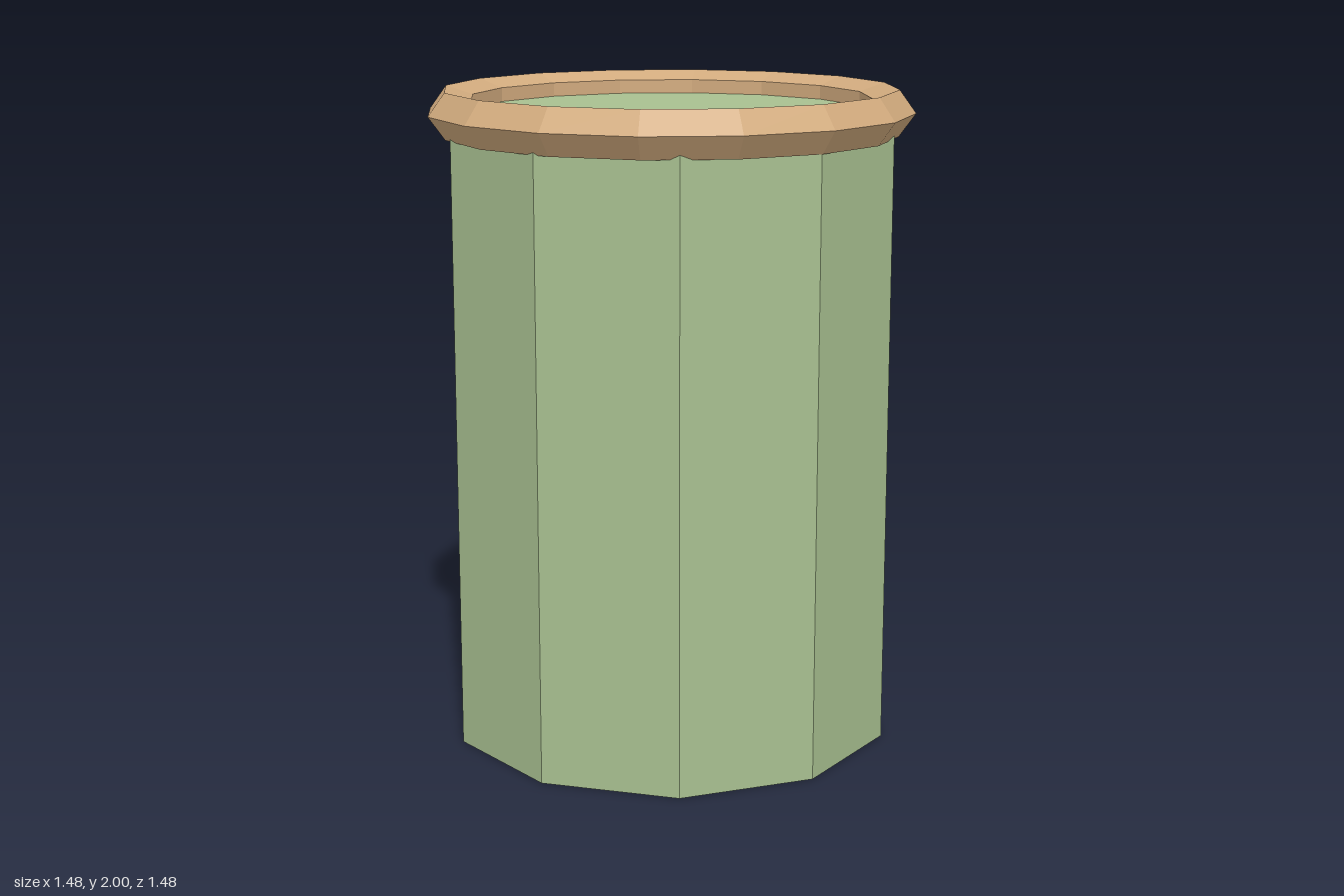
import * as THREE from 'three';

export function createModel() {
  const model = new THREE.Group();
  model.name = 'canister';

  const green = new THREE.MeshStandardMaterial({ color: 0xa8c090, flatShading: true });
  green.name = 'sage green';
  const tan = new THREE.MeshStandardMaterial({ color: 0xd2ab7e, flatShading: true });
  tan.name = 'warm tan';

  // Ten-sided body, its top sunk to the middle of the rim
  const bodyHeight = 1.93;
  const body = new THREE.Mesh(
    new THREE.CylinderGeometry(0.685, 0.685, bodyHeight, 10),
    green
  );
  body.name = 'body';
  body.position.y = bodyHeight / 2;

  // Sixteen-sided rim with a five-sided section
  const rim = new THREE.Mesh(new THREE.TorusGeometry(0.665, 0.073, 5, 16), tan);
  rim.name = 'rim';
  rim.rotation.x = Math.PI / 2;
  rim.position.y = bodyHeight;

  model.add(body, rim);
  return model;
}
